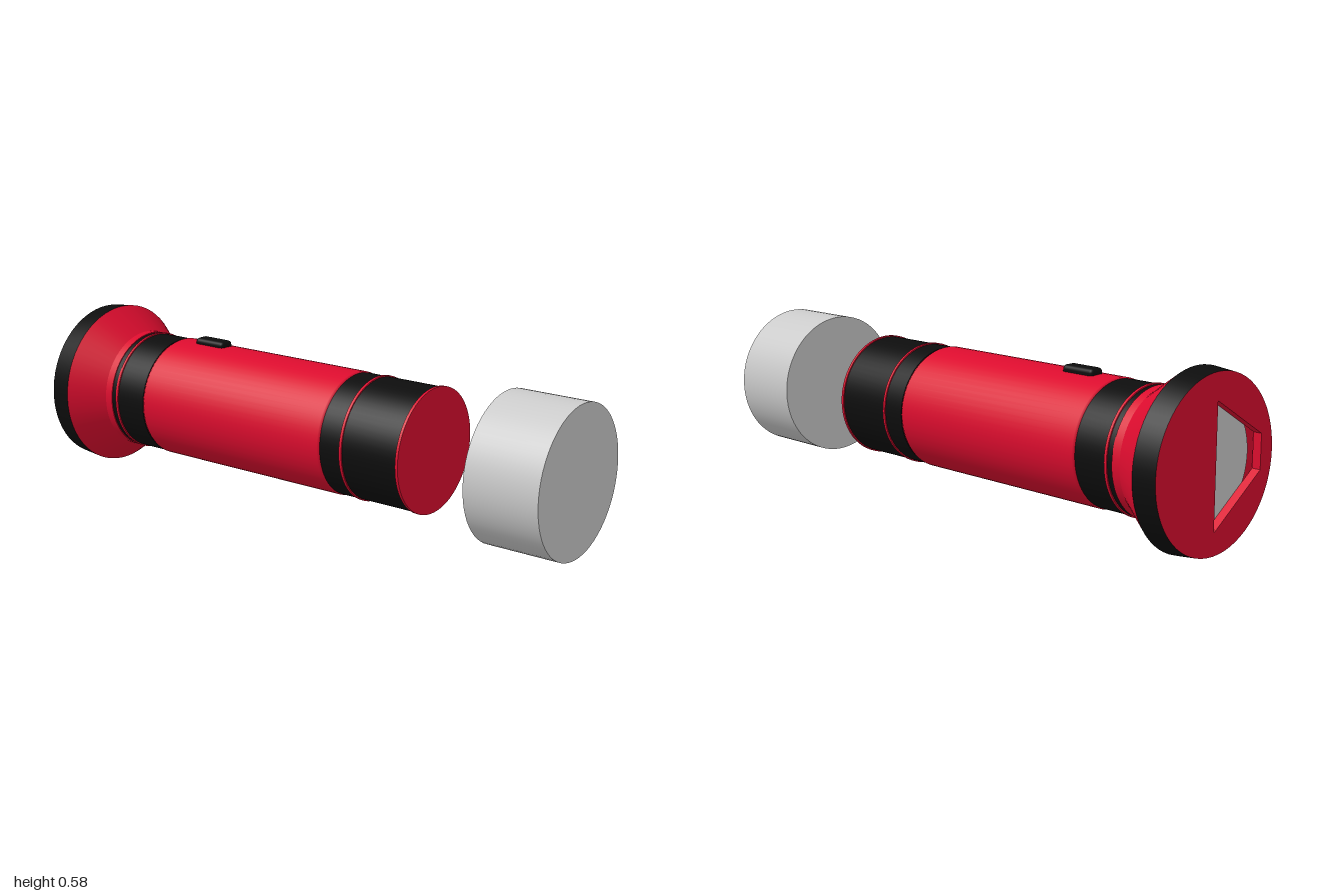
import * as THREE from 'three';
import { RoundedBoxGeometry } from 'three/addons/geometries/RoundedBoxGeometry.js';

const AXIS_Y = 0.293;
const SIDES = 64;

export function createModel() {
  const model = new THREE.Group();
  const red = new THREE.MeshStandardMaterial({ color: 0xdc0c2e });
  const black = new THREE.MeshStandardMaterial({ color: 0x0d0d0d });
  const grey = new THREE.MeshStandardMaterial({ color: 0xcccccc });

  function add(name, geometry, material, x = 0, y = AXIS_Y, z = 0) {
    const mesh = new THREE.Mesh(geometry, material);
    mesh.name = name;
    mesh.position.set(x, y, z);
    model.add(mesh);
    return mesh;
  }

  // Round section along x, from x0 (radius r0) to x1 (radius r1)
  function section(name, material, x0, x1, r0, r1 = r0, open = false) {
    const g = new THREE.CylinderGeometry(r1, r0, x1 - x0, SIDES, 1, open);
    g.rotateZ(-Math.PI / 2);
    return add(name, g, material, (x0 + x1) / 2);
  }

  // Head: black rim and red flare
  section('headRim', black, -1, -0.92, 0.283, 0.291, true);
  section('headFlare', red, -0.92, -0.805, 0.291, 0.211, true);
  section('headNeck', red, -0.805, -0.775, 0.211);

  // Front plate with the lens window cut in its left half
  const plate = new THREE.Shape();
  plate.absarc(0, 0, 0.283, 0, Math.PI * 2);
  const window = new THREE.Path();
  window.moveTo(0, 0.195);
  window.lineTo(0.225, 0.06);
  window.lineTo(0.225, -0.055);
  window.lineTo(0, -0.21);
  window.closePath();
  plate.holes.push(window);
  const plateGeometry = new THREE.ExtrudeGeometry(plate, {
    depth: 0.03, bevelEnabled: false, curveSegments: SIDES / 2,
  });
  plateGeometry.rotateY(-Math.PI / 2);
  add('facePlate', plateGeometry, red, -0.97);

  // Lens and the red backing around it
  const disc = (r) => new THREE.CircleGeometry(r, SIDES).rotateY(-Math.PI / 2);
  add('lens', disc(0.2), grey, -0.968);
  add('lensBacking', disc(0.283), red, -0.96);

  // Grip bands and thin red rings
  const bands = [[-0.775, -0.755], [-0.745, -0.625], [0.165, 0.245], [0.255, 0.465]];
  bands.forEach(([a, b]) => section('gripBand', black, a, b, 0.208));
  const rings = [[-0.755, -0.745], [0.245, 0.255]];
  rings.forEach(([a, b]) => section('ring', red, a, b, 0.212));
  section('tailCap', red, 0.465, 0.475, 0.212);

  // Main barrel with softly eased ends
  const barrel = new THREE.LatheGeometry([
    [0, -0.627], [0.204, -0.627], [0.211, -0.615],
    [0.211, 0.155], [0.204, 0.167], [0, 0.167],
  ].map(([r, x]) => new THREE.Vector2(r, x)), SIDES);
  barrel.rotateZ(-Math.PI / 2);
  add('barrel', barrel, red);

  // Switch on top of the barrel
  add('switchButton', new RoundedBoxGeometry(0.13, 0.05, 0.056, 3, 0.014), black,
    -0.475, 0.498, -0.008);

  // Loose grey cylinder behind the tail
  section('looseCylinder', grey, 0.74, 1, 0.25);

  return model;
}
